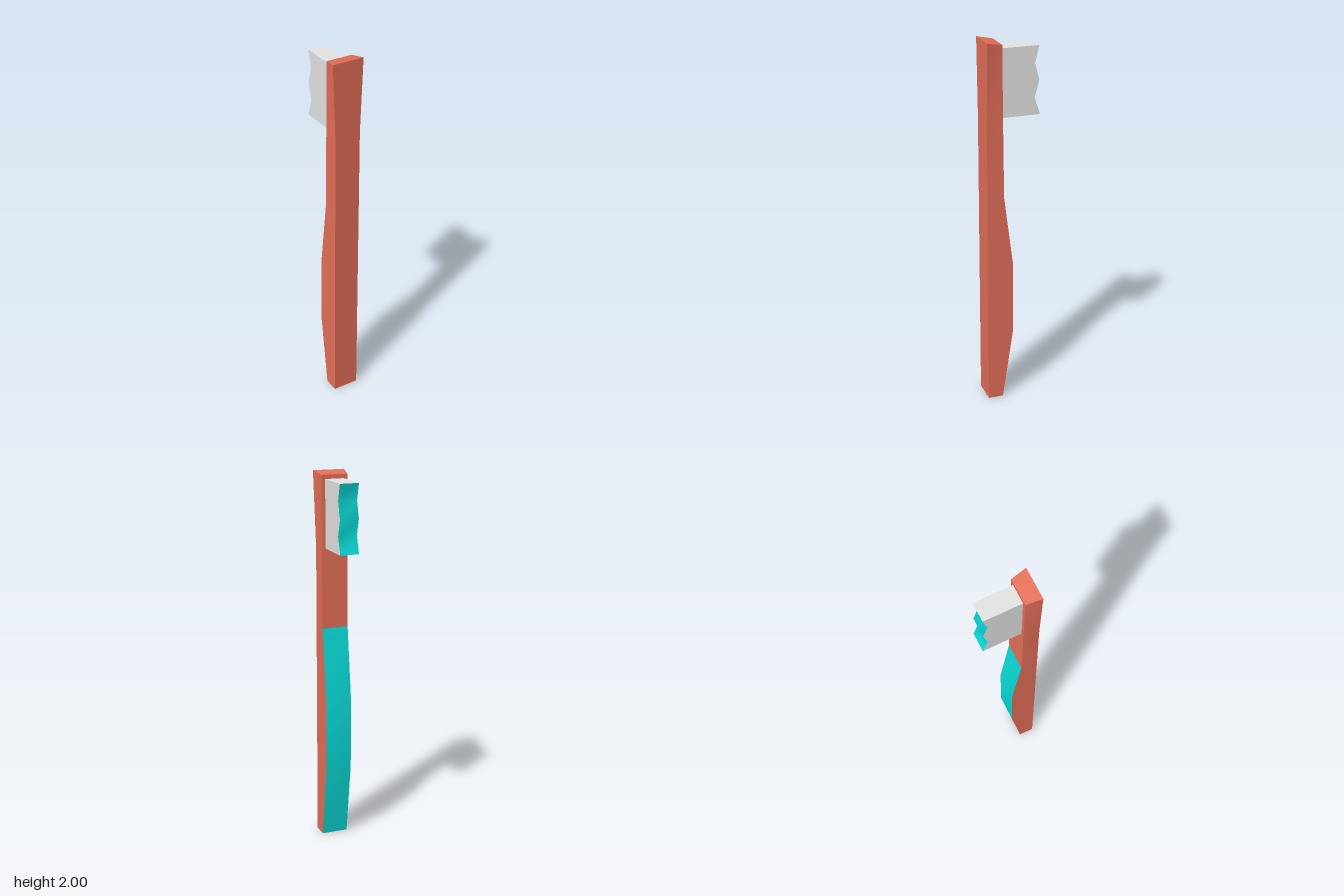
import * as THREE from 'three';

const red = new THREE.MeshStandardMaterial({ color: 0xe7705a });
red.name = 'coral plastic';
const teal = new THREE.MeshStandardMaterial({ color: 0x08dedb });
teal.name = 'teal rubber';
const grey = new THREE.MeshStandardMaterial({ color: 0xe6e6e6 });
grey.name = 'light grey bristle';

// Smooth strip between matching edges; each row is [pointA, pointB]
function strip(name, rows, material) {
  const index = [];
  for (let i = 0; i < rows.length - 1; i++) {
    const a = 2 * i;
    index.push(a, a + 1, a + 3, a, a + 3, a + 2);
  }
  const geometry = new THREE.BufferGeometry();
  geometry.setAttribute('position', new THREE.Float32BufferAttribute(rows.flat(2), 3));
  geometry.setIndex(index);
  geometry.computeVertexNormals();
  const mesh = new THREE.Mesh(geometry, material);
  mesh.name = name;
  return mesh;
}

// Four-sided bar through sections, with back colours given as [name, from, to, material]
function bar(name, sections, material, backs) {
  const group = new THREE.Group();
  group.name = name;
  const corners = sections.map(({ y, yBack = y, front, back, w, wBack = w }) => ({
    fr: [-w, y, front], fl: [w, y, front],
    br: [-wBack, yBack, back], bl: [wBack, yBack, back],
  }));
  const side = (a, b, list = corners) => list.map((c) => [c[a], c[b]]);
  const low = corners[0], top = corners[corners.length - 1];
  group.add(
    strip(name + 'Front', side('fr', 'fl'), material),
    strip(name + 'Left', side('fl', 'bl'), material),
    strip(name + 'Right', side('br', 'fr'), material),
    strip(name + 'Top', [[top.fr, top.fl], [top.br, top.bl]], material),
    strip(name + 'Bottom', [[low.br, low.bl], [low.fr, low.fl]], material),
  );
  for (const [part, from, to, mat] of backs) {
    group.add(strip(part, side('bl', 'br', corners.slice(from, to + 1)), mat));
  }
  return group;
}

export function createModel() {
  const model = new THREE.Group();
  model.name = 'toothbrush';

  // Handle: flat front, swelling grip at the back, flared head
  const front = 0.146, w = 0.071;
  model.add(bar('handle', [
    { y: 0, front, back: 0.064, w },
    { y: 0.4, front, back: 0.005, w },
    { y: 0.79, front, back: 0.005, w },
    { y: 1.18, front, back: 0.055, w },
    { y: 1.6, front, back: 0.06, w },
    { y: 2, yBack: 1.985, front, back: 0.063, w: 0.086, wBack: w },
  ], red, [['grip', 0, 3, teal], ['neckBack', 3, 5, red]]));

  // Bristle block with a wavy coloured tip
  const wave = [[1.605, -0.146], [1.695, -0.117], [1.785, -0.141], [1.873, -0.117], [1.963, -0.14]];
  model.add(bar('bristles',
    wave.map(([y, back]) => ({ y, front: 0.063, back, w: 0.051 })),
    grey, [['bristleTips', 0, 4, teal]]));

  return model;
}
